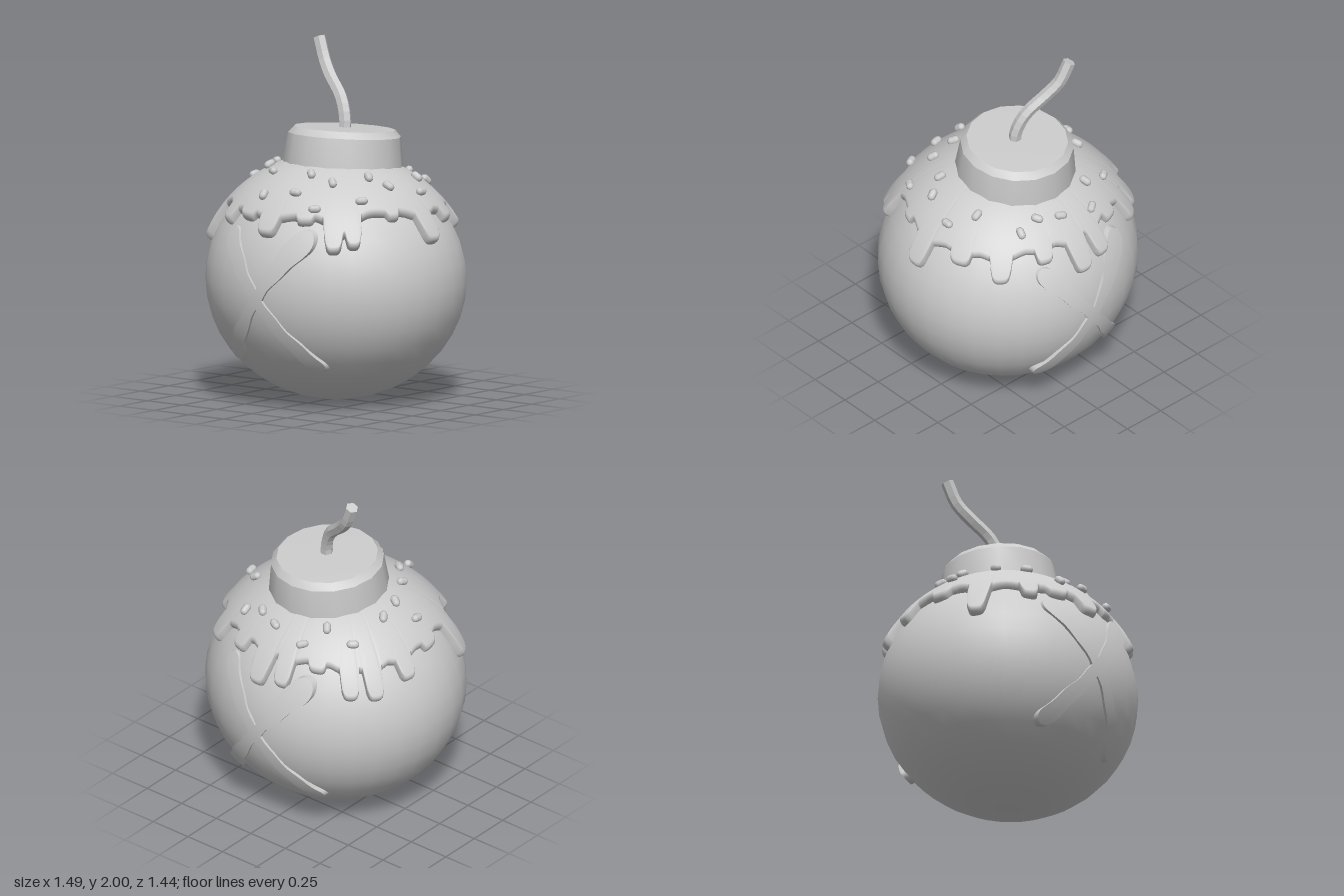
import * as THREE from 'three';
import { mergeVertices, toCreasedNormals } from 'three/addons/utils/BufferGeometryUtils.js';

const R = new THREE.Vector3(0.745, 0.675, 0.712); // body radii
const CY = 0.678; // body centre height
const { lerp, clamp, smoothstep } = THREE.MathUtils;

const material = () => new THREE.MeshStandardMaterial({ color: 0xcccccc, side: THREE.DoubleSide });

function addMesh(parent, name, geometry) {
  const mesh = new THREE.Mesh(geometry, material());
  mesh.name = name;
  parent.add(mesh);
  return mesh;
}

// Bends a plane grid with a rule (u, v in 0..1) -> point
function grid(nu, nv, rule) {
  const g = new THREE.PlaneGeometry(1, 1, nu, nv);
  const { position, uv } = g.attributes;
  for (let i = 0; i < position.count; i++) {
    const p = rule(uv.getX(i), 1 - uv.getY(i));
    position.setXYZ(i, p.x, p.y, p.z);
  }
  g.deleteAttribute('uv');
  g.deleteAttribute('normal');
  const merged = mergeVertices(g, 1e-5);
  merged.computeVertexNormals();
  return merged;
}

// Icing drips: angle in degrees (0 = +x, 90 = front), half width, length
const DRIPS = [
  [0, 6, 0.16], [20, 4, 0.03], [44, 4.5, 0.17], [53.5, 5, 0.19], [69, 5, 0.03],
  [89, 6, 0.1], [106, 6, 0.03], [122, 5, 0.08], [148, 5.5, 0.23], [172, 6, 0.04],
  [194, 5, 0.11], [213, 5, 0.17], [225, 5, 0.16], [242, 5, 0.04], [259, 5, 0.15],
  [272, 5.5, 0.18], [291, 5, 0.07], [314, 5.5, 0.13], [336, 6, 0.06],
];

function icingEdge(deg) {
  let drop = 0;
  for (const [centre, half, length] of DRIPS) {
    const d = Math.abs(((deg - centre + 540) % 360) - 180) / half;
    const drip = length * Math.sqrt(Math.max(0, 1 - d ** 4));
    const flare = 0.25 * length * Math.exp(-((d / 1.5) ** 2));
    drop = Math.max(drop, drip, flare);
  }
  return 1.105 + 0.012 * Math.sin(deg * Math.PI / 60) - drop;
}

// Icing shell with a rounded lip that turns in to the body
function icing() {
  const rows = 20, lipRows = 6, lip = 0.055;
  return grid(360, rows, (u, v) => {
    const a = -u * Math.PI * 2;
    const end = Math.acos((icingEdge((1 - u) * 360) - CY) / (R.y * 1.03));
    const row = Math.round(v * rows);
    let phi, s = 1.06;
    if (row <= rows - lipRows) phi = lerp(0.05, end - lip, row / (rows - lipRows));
    else {
      const q = (row - rows + lipRows) / lipRows * Math.PI / 2;
      phi = end - lip + lip * Math.sin(q);
      s = 0.985 + 0.075 * Math.cos(q);
    }
    return new THREE.Vector3(
      Math.sin(phi) * Math.cos(a) * R.x * s,
      CY + Math.cos(phi) * R.y * s,
      Math.sin(phi) * Math.sin(a) * R.z * s);
  });
}

// Raised stroke laid on the front of the body: ends [x, y, halfWidth, lift]
function stroke(from, to) {
  const dx = to[0] - from[0], dy = to[1] - from[1], len = Math.hypot(dx, dy);
  const g = grid(36, 6, (u, v) => {
    const t = (1 - Math.cos(Math.PI * u)) / 2;
    const j = Math.round(v * 6);
    const side = -clamp((j - 3) / 2, -1, 1);
    const near = t < 0.5 ? from : to;
    const away = Math.abs(t - 0.5) * 2;
    const base = lerp(0.034, near[2], smoothstep(away, 0.1, 0.85));
    const d = Math.min(t, 1 - t) * len;
    const round = Math.sqrt(Math.max(0, 1 - Math.max(0, 1 - d / near[2]) ** 2));
    const w = (base + 0.004 * Math.sin(t * 31 + side)) * round * side;
    const x = from[0] + dx * t - dy / len * w;
    const y = from[1] + dy * t + dx / len * w;
    const z = R.z * Math.sqrt(Math.max(0, 1 - (x / R.x) ** 2 - ((y - CY) / R.y) ** 2));
    const raise = j === 0 || j === 6 ? -0.015 : lerp(0.01, near[3], away ** 3);
    return new THREE.Vector3(x, y, z + raise);
  });
  return toCreasedNormals(g, 0.7);
}

// Sprinkles seen from above: x, z, turn in degrees
const SPRINKLES = [
  [-0.17, -0.5, 50], [0.04, -0.48, -30], [0.17, -0.43, -60], [0.29, -0.43, 70],
  [-0.4, -0.34, 40], [-0.24, -0.37, -55], [-0.42, -0.1, -45], [-0.39, 0.04, -20],
  [-0.51, 0.08, 85], [-0.3, 0.21, 75], [-0.18, 0.33, -35], [-0.1, 0.51, 90],
  [0.1, 0.34, -50], [0.1, 0.48, 5], [0.25, 0.34, -45], [0.26, 0.51, 30],
  [0.44, 0.32, 55], [0.36, 0.16, -30], [0.46, 0.11, 10], [0.53, -0.09, 90], [0.41, -0.2, 10],
];

function addSprinkles(parent) {
  const group = new THREE.Group();
  group.name = 'sprinkles';
  const shape = new THREE.CapsuleGeometry(0.023, 0.026, 3, 8);
  const s = 1.06;
  for (const [x, z, turn] of SPRINKLES) {
    const h = Math.sqrt(1 - (x / R.x / s) ** 2 - (z / R.z / s) ** 2);
    const normal = new THREE.Vector3(x / R.x ** 2, h * s / R.y, z / R.z ** 2).normalize();
    const r = turn * Math.PI / 180;
    const along = new THREE.Vector3(Math.cos(r), 0, -Math.sin(r)).projectOnPlane(normal).normalize();
    const mesh = addMesh(group, 'sprinkle', shape);
    mesh.position.set(x, CY + h * R.y * s, z).addScaledVector(normal, 0.012);
    mesh.quaternion.setFromUnitVectors(new THREE.Vector3(0, 1, 0), along);
  }
  parent.add(group);
}

export function createModel() {
  const model = new THREE.Group();
  model.name = 'icedBomb';

  // Round body
  const body = new THREE.SphereGeometry(1, 32, 20);
  body.scale(R.x, R.y, R.z);
  addMesh(model, 'body', body).position.y = CY;

  // Icing and sprinkles
  addMesh(model, 'icing', icing());
  addSprinkles(model);

  // Crossed strokes on the front, turned round for the back
  for (const [name, turn] of [['frontCross', 0], ['backCross', Math.PI]]) {
    const cross = new THREE.Group();
    cross.name = name;
    addMesh(cross, 'fallingStroke', stroke([-0.28, 1.01, 0.05, 0.015], [0.31, 0.24, 0.045, 0.035]));
    addMesh(cross, 'risingStroke', stroke([-0.28, 0.27, 0.05, 0.035], [0.29, 1.03, 0.07, 0.035]));
    cross.rotation.y = turn;
    model.add(cross);
  }

  // Tilted cap with a chamfered rim
  const profile = [[0, -0.04], [0.34, -0.04], [0.338, 0.02], [0.318, 0.185], [0.285, 0.222], [0, 0.228]]
    .map(([x, y]) => new THREE.Vector2(x, y));
  const cap = addMesh(model, 'cap', toCreasedNormals(new THREE.LatheGeometry(profile, 16), 0.5));
  cap.position.set(0, 1.3, -0.06);
  cap.rotation.x = -0.08;

  // Six-sided fuse with a closed tip
  const path = new THREE.CatmullRomCurve3([
    [0.01, 1.47, -0.065], [0.005, 1.58, -0.075], [-0.045, 1.69, -0.1], [-0.155, 1.79, -0.145],
    [-0.225, 1.87, -0.18], [-0.28, 1.993, -0.2],
  ].map((p) => new THREE.Vector3(...p)));
  const tube = new THREE.TubeGeometry(path, 14, 0.036, 6);
  const fuse = new THREE.Group();
  fuse.name = 'fuse';
  model.add(fuse);
  addMesh(fuse, 'fuseCord', tube).material.flatShading = true;
  const rim = tube.attributes.position;
  const ring = Array.from({ length: 7 }, (_, i) => new THREE.Vector3().fromBufferAttribute(rim, 14 * 7 + i));
  const tip = new THREE.BufferGeometry().setFromPoints([path.getPoint(1), ...ring]);
  tip.setIndex([0, 1, 2, 3, 4, 5].flatMap((i) => [0, i + 1, i + 2]));
  tip.computeVertexNormals();
  addMesh(fuse, 'fuseTip', tip);

  return model;
}
